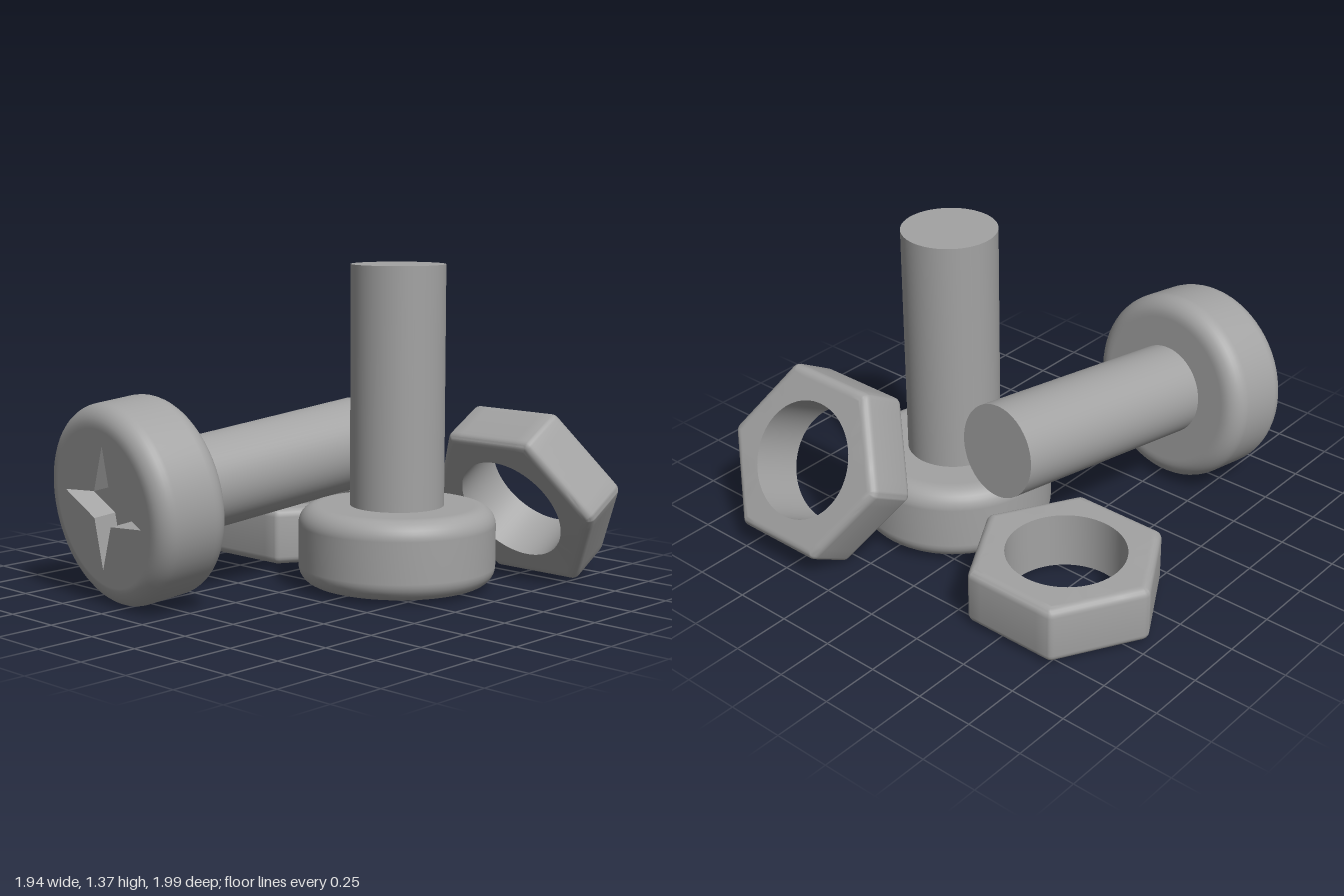
import * as THREE from 'three';
import { toCreasedNormals } from 'three/addons/utils/BufferGeometryUtils.js';

const steel = new THREE.MeshStandardMaterial({ color: 0xa3a3a3 });
steel.name = 'grey steel';

function add(parent, geometry, name) {
  const mesh = new THREE.Mesh(geometry, steel);
  mesh.name = name;
  parent.add(mesh);
  return mesh;
}

// Bolt standing on its head: round head, star-shaped recess below, plain shaft above
function makeBolt(name) {
  const bolt = new THREE.Group();
  bolt.name = name;
  const R = 0.42, H = 0.335, bevel = 0.08, flat = 0.33, depth = 0.1, length = 1.355;

  // rounded head skin
  const profile = [new THREE.Vector2(flat, 0)];
  for (const [cy, start] of [[bevel, -Math.PI / 2], [H - bevel, 0]]) {
    for (let i = 0; i <= 8; i++) {
      const a = start + (i / 8) * Math.PI / 2;
      profile.push(new THREE.Vector2(R - bevel + bevel * Math.cos(a), cy + bevel * Math.sin(a)));
    }
  }
  profile.push(new THREE.Vector2(flat, H), new THREE.Vector2(0.19, H));
  add(bolt, new THREE.LatheGeometry(profile, 64), 'head');

  // head face pierced by a four-pointed star
  const face = new THREE.Shape().absarc(0, 0, flat, 0, Math.PI * 2, false);
  const star = [];
  for (let i = 0; i < 8; i++) {
    const a = THREE.MathUtils.degToRad(10 + i * 45), r = i % 2 ? 0.083 : 0.27;
    star.push(new THREE.Vector2(r * Math.cos(a), r * Math.sin(a)));
  }
  face.holes.push(new THREE.Path(star));
  const faceGeo = new THREE.ExtrudeGeometry(face, { depth, bevelEnabled: false, curveSegments: 64 });
  add(bolt, faceGeo.rotateX(-Math.PI / 2), 'starRecess');
  const floor = new THREE.CircleGeometry(0.3, 32).rotateX(Math.PI / 2).translate(0, depth, 0);
  add(bolt, floor, 'recessFloor');

  // shaft
  const shaft = new THREE.CylinderGeometry(0.2, 0.2, length - H + 0.02, 64);
  add(bolt, shaft, 'shaft').position.y = (length + H - 0.02) / 2;
  return bolt;
}

// Hexagonal nut: rounded outer edges, sharp round hole, axis along y
function nutGeometry() {
  const apothem = 0.365, half = 0.125, r = 0.035, hole = 0.25;
  const arc = 4, side = 8, perCorner = arc + side, count = 6 * perCorner;
  const core = (apothem - r) / Math.cos(Math.PI / 6);

  // one outline ring, at distance d outside the core hexagon
  const hexRing = (d, y) => {
    const corner = (k, t) => {
      const a = k * Math.PI / 3, b = a + (t - 0.5) * Math.PI / 3;
      return new THREE.Vector3(core * Math.cos(a) + d * Math.cos(b), y, core * Math.sin(a) + d * Math.sin(b));
    };
    const ring = [];
    for (let k = 0; k < 6; k++) {
      for (let i = 0; i < arc; i++) ring.push(corner(k, i / arc));
      for (let i = 0; i < side; i++) ring.push(corner(k, 1).lerp(corner(k + 1, 0), i / side));
    }
    return ring;
  };
  const holeRing = (y) => Array.from({ length: count }, (_, i) => {
    const a = ((i - arc / 2) / count) * Math.PI * 2;
    return new THREE.Vector3(hole * Math.cos(a), y, hole * Math.sin(a));
  });

  // rings run from the lower hole edge, round the outside, and back through the hole
  const rings = [holeRing(-half), hexRing(-0.006, -half)];
  for (const s of [-1, 1]) {
    for (let i = 0; i <= 5; i++) {
      const a = (s < 0 ? i / 5 - 1 : i / 5) * Math.PI / 2;
      rings.push(hexRing(r * Math.cos(a), s * (half - r) + r * Math.sin(a)));
    }
  }
  rings.push(hexRing(-0.006, half), holeRing(half), holeRing(-half));

  const positions = [];
  for (let j = 0; j < rings.length - 1; j++) {
    for (let i = 0; i < count; i++) {
      const n = (i + 1) % count;
      const a = rings[j][i], b = rings[j][n], c = rings[j + 1][n], d = rings[j + 1][i];
      for (const p of [a, d, c, a, c, b]) positions.push(p.x, p.y, p.z);
    }
  }
  const geo = new THREE.BufferGeometry();
  geo.setAttribute('position', new THREE.Float32BufferAttribute(positions, 3));
  return toCreasedNormals(geo, 0.6);
}

export function createModel() {
  const model = new THREE.Group();
  model.name = 'boltsAndNuts';

  const standing = makeBolt('standingBolt');
  standing.position.set(0.25, 0.02, -0.21);
  model.add(standing);

  const lying = makeBolt('lyingBolt');
  lying.position.set(-0.307, 0.417, 0.94);
  lying.rotation.set(-1.463, -0.11, 0, 'YXZ');
  model.add(lying);

  const nut = nutGeometry();
  add(model, nut, 'flatNut').position.set(-0.556, 0.145, -0.435);
  const leaning = add(model, nut, 'leaningNut');
  leaning.position.set(0.548, 0.38, -0.72);
  leaning.rotation.x = -Math.PI / 3;

  return model;
}
